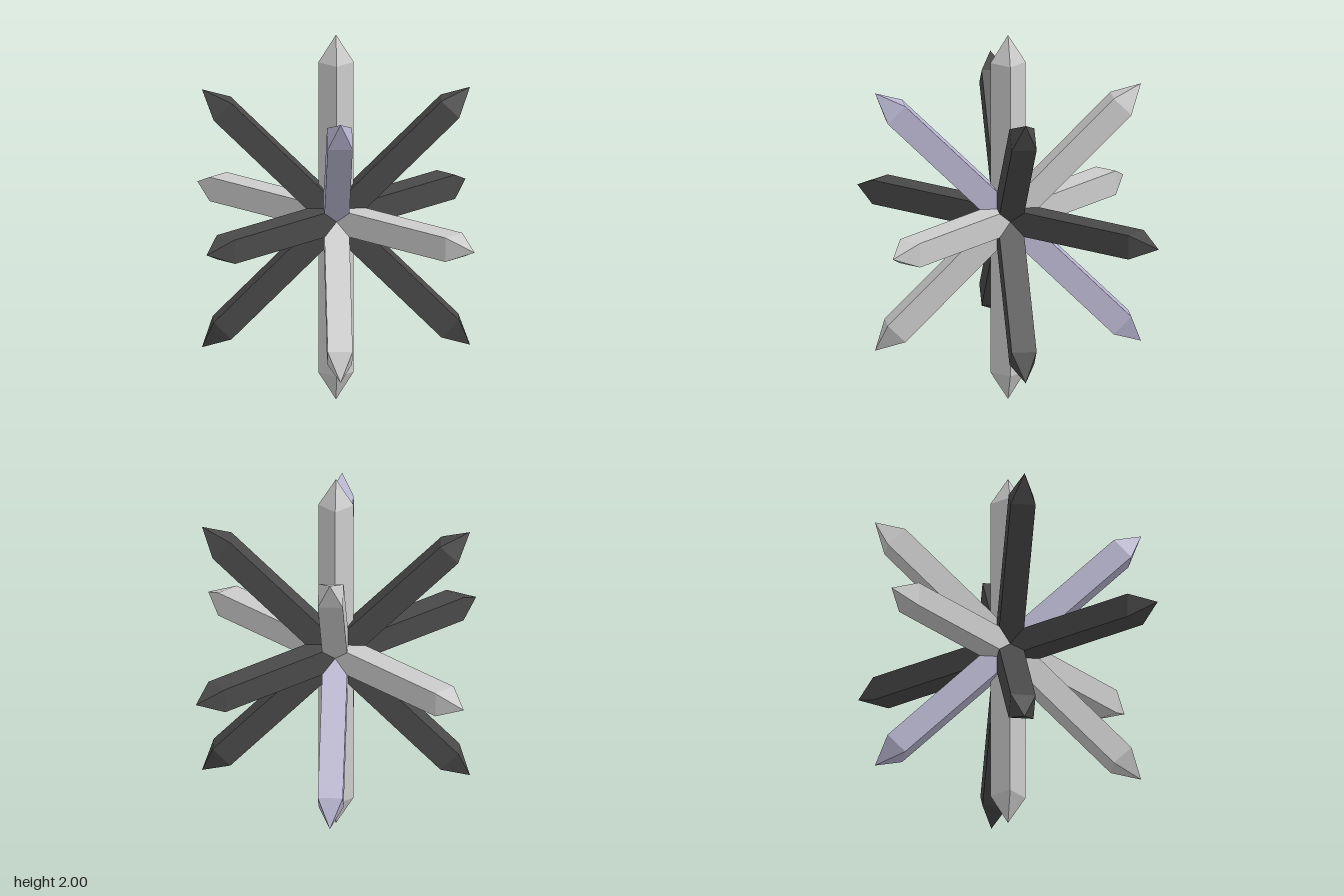
import * as THREE from 'three';

const HALF = 0.066;     // half width of a square bar
const SHOULDER = 0.85;  // where the pointed tip begins
const TIP = 1;

// Square bar along y, pointed at both ends
function barGeometry() {
  const r = HALF * Math.SQRT2;
  const profile = [[0, -TIP], [r, -SHOULDER], [r, SHOULDER], [0, TIP]]
    .map(([x, y]) => new THREE.Vector2(x, y));
  const geometry = new THREE.LatheGeometry(profile, 4, Math.PI / 4).toNonIndexed();
  geometry.computeVertexNormals();
  return geometry;
}

export function createModel() {
  const group = new THREE.Group();
  group.name = 'crystalStar';
  const material = (color) => new THREE.MeshStandardMaterial({ color, flatShading: true });
  const light = material(0xcccccc);
  const dark = material(0x494949);
  const lavender = material(0xb9b6d1);
  const geometry = barGeometry();

  // name, material, tilt away from vertical, turn about vertical (degrees)
  const bars = [
    ['verticalBar', light, 0, 0],
    ['depthBar', light, 90, 0],
    ['crossBar', dark, 90, 90],
    ['frontLeftDiagonalBar', dark, 45, 45],
    ['frontRightDiagonalBar', lavender, 45, -45],
    ['backLeftDiagonalBar', light, 45, 135],
    ['backRightDiagonalBar', dark, 45, 225],
  ];
  for (const [name, mat, tilt, turn] of bars) {
    const bar = new THREE.Mesh(geometry, mat);
    bar.name = name;
    bar.rotation.set(THREE.MathUtils.degToRad(tilt), THREE.MathUtils.degToRad(turn), 0, 'YXZ');
    bar.position.y = 1;
    group.add(bar);
  }
  return group;
}
